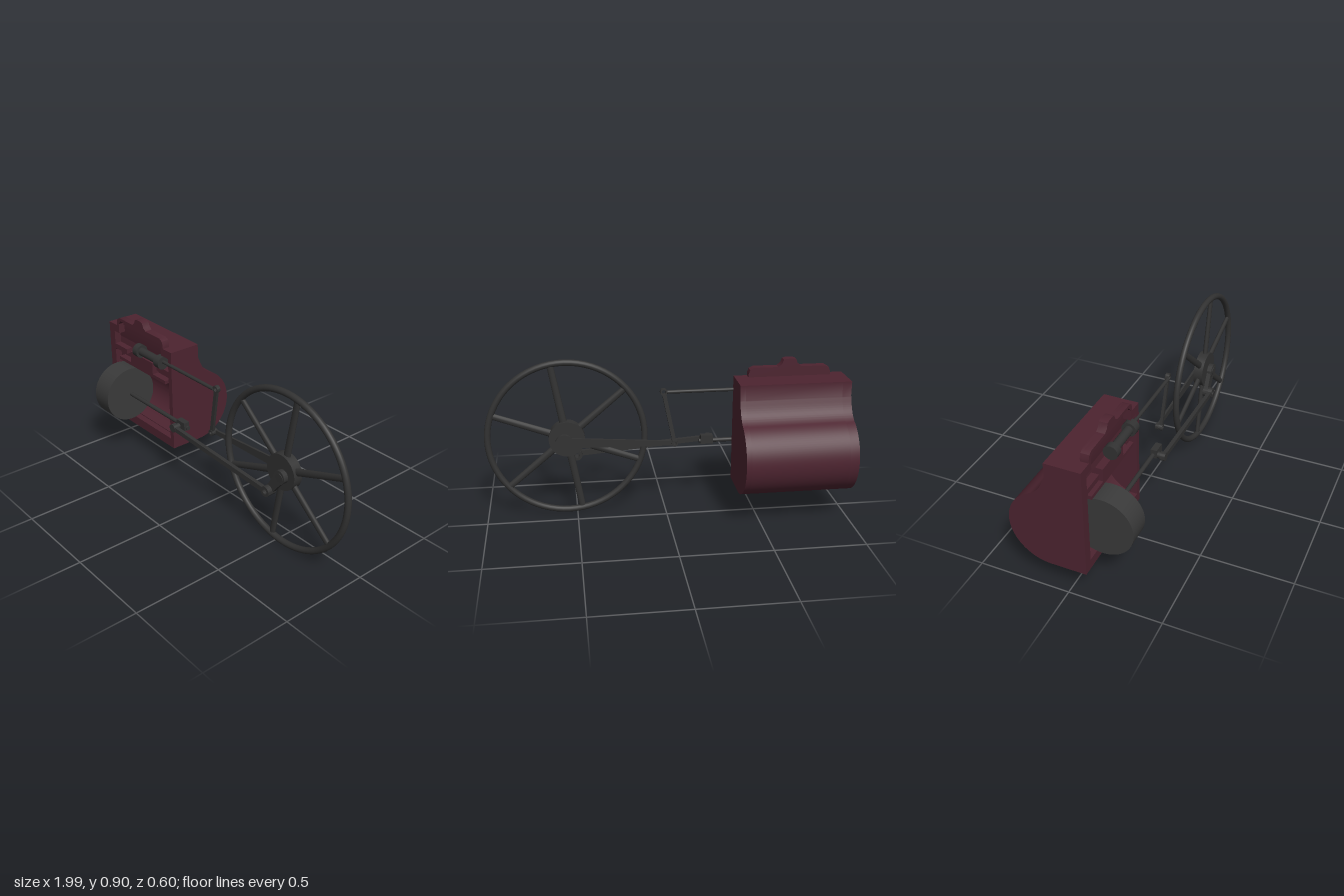
import * as THREE from 'three';
import { toCreasedNormals } from 'three/addons/utils/BufferGeometryUtils.js';

export function createModel() {
  const model = new THREE.Group();
  const maroon = new THREE.MeshStandardMaterial({ color: 0x4d2430 });
  maroon.name = 'maroon casting';
  const iron = new THREE.MeshStandardMaterial({ color: 0x323232 });
  iron.name = 'dark iron';
  const steel = new THREE.MeshStandardMaterial({ color: 0x3a3a3a });
  steel.name = 'piston steel';

  const add = (name, geo, mat, x = 0, y = 0, z = 0, parent = model) => {
    const mesh = new THREE.Mesh(geo, mat);
    mesh.name = name;
    mesh.position.set(x, y, z);
    parent.add(mesh);
    return mesh;
  };
  const outline = (pts) => new THREE.Shape(pts.map(([x, y]) => new THREE.Vector2(x, y)));
  const extrude = (shape, depth) => toCreasedNormals(
    new THREE.ExtrudeGeometry(shape, { depth, bevelEnabled: false, curveSegments: 24 }), 0.6);
  // cylinder lying along x, from x0 to x1
  const rodX = (name, x0, x1, y, z, r, mat = iron, sides = 24) =>
    add(name, new THREE.CylinderGeometry(r, r, x1 - x0, sides).rotateZ(Math.PI / 2), mat, (x0 + x1) / 2, y, z);
  // cylinder lying along z, from z0 to z1
  const discZ = (name, x, y, z0, z1, r, sides = 32) =>
    add(name, new THREE.CylinderGeometry(r, r, z1 - z0, sides).rotateX(Math.PI / 2), iron, x, y, (z0 + z1) / 2);

  // Cylinder block: side profile swept along x (shape x is -z)
  const FRONT = 0.105, SEAT = 0.065;
  const blockProfile = (front, hollow) => {
    const s = new THREE.Shape();
    s.moveTo(-front, 0.165);
    s.lineTo(0.085, 0.165);
    s.absarc(0.085, 0.38, 0.215, -Math.PI / 2, 1.17, false);
    s.bezierCurveTo(0.115, 0.61, 0.105, 0.65, 0.085, 0.70);
    s.lineTo(0.085, 0.777);
    s.lineTo(-front, 0.777);
    if (hollow) {
      // valve chamber and bore, both open to the front
      for (const [cy, r] of [[0.69, 0.041], [0.39, 0.17]]) {
        const a = Math.acos(Math.min(1, (FRONT - front) / r));
        s.lineTo(-front, cy + r * Math.sin(a));
        s.absarc(-FRONT, cy, r, a, -a, true);
      }
    }
    s.closePath();
    return s;
  };
  const sweep = (name, x0, x1, front, hollow) =>
    add(name, extrude(blockProfile(front, hollow), x1 - x0).rotateY(Math.PI / 2), maroon, x0);
  sweep('blockEndLeft', -0.415, -0.385, SEAT, false);
  sweep('blockEndRight', -1, -0.95, SEAT, false);
  sweep('blockBody', -0.95, -0.415, SEAT, true);

  // Sectioned front face with bore, steam passages and chest cut out
  const arch = [[-0.46, 0.777], [-0.46, 0.795], [-0.468, 0.818], [-0.49, 0.83], [-0.625, 0.83],
    [-0.645, 0.845], [-0.655, 0.87], [-0.67, 0.875], [-0.71, 0.875], [-0.725, 0.87], [-0.735, 0.845],
    [-0.755, 0.83], [-0.89, 0.83], [-0.912, 0.818], [-0.92, 0.795], [-0.92, 0.777]];
  const face = outline([[-1, 0.165], [-0.385, 0.165], [-0.385, 0.777], ...arch, [-1, 0.777]]);
  face.holes.push(outline([[-0.95, 0.22], [-0.415, 0.22], [-0.415, 0.61], [-0.425, 0.62], [-0.53, 0.62],
    [-0.53, 0.65], [-0.415, 0.65], [-0.415, 0.731], [-0.48, 0.731], [-0.48, 0.79], [-0.5, 0.812],
    [-0.88, 0.812], [-0.9, 0.79], [-0.9, 0.731], [-0.95, 0.731], [-0.95, 0.65], [-0.83, 0.65],
    [-0.83, 0.62], [-0.94, 0.62], [-0.95, 0.61]]));
  add('sectionFace', extrude(face, FRONT - SEAT), maroon, 0, 0, SEAT);
  add('steamChestBack', extrude(outline(arch), 0.012), maroon, 0, 0, SEAT - 0.005);
  add('portBridge', extrude(outline([[-0.91, 0.56], [-0.45, 0.56], [-0.45, 0.58], [-0.57, 0.58], [-0.57, 0.65],
    [-0.79, 0.65], [-0.79, 0.58], [-0.91, 0.58]]), FRONT - SEAT), maroon, 0, 0, SEAT);

  // Piston, piston rod and crosshead
  rodX('piston', -0.89, -0.76, 0.39, 0.14, 0.165, steel, 48);
  rodX('pistonRod', -0.78, -0.2, 0.39, 0.135, 0.012);
  add('crosshead', new THREE.BoxGeometry(0.07, 0.05, 0.035), iron, -0.245, 0.398, 0.14);
  discZ('crossheadPin', -0.262, 0.388, 0.13, 0.2, 0.018, 20);

  // Spool valve and its rod
  rodX('valveSpool', -0.69, -0.48, 0.69, 0.105, 0.024);
  rodX('valveLandRight', -0.71, -0.67, 0.69, 0.105, 0.039);
  rodX('valveLandLeft', -0.505, -0.46, 0.69, 0.105, 0.039);
  rodX('valveRod', -0.46, -0.012, 0.698, 0.105, 0.01);

  // Flat tapered link with an eye at each end: [eye radius, hole radius]
  const link = (name, from, to, halfA, halfB, eyeA, eyeB, thick) => {
    const a = new THREE.Vector3(...from), dir = new THREE.Vector3(...to).sub(a);
    const length = dir.length(), g = new THREE.Group();
    g.name = name;
    g.position.copy(a);
    g.quaternion.setFromUnitVectors(new THREE.Vector3(1, 0, 0), dir.normalize());
    const x0 = Math.sqrt(eyeA[0] ** 2 - halfA ** 2) - 0.001, x1 = length - Math.sqrt(eyeB[0] ** 2 - halfB ** 2) + 0.001;
    add(name + 'Bar', extrude(outline([[x0, -halfA], [x1, -halfB], [x1, halfB], [x0, halfA]]), thick),
      iron, 0, 0, -thick / 2, g);
    for (const [x, [r, hole]] of [[0, eyeA], [length, eyeB]]) {
      const s = new THREE.Shape().absarc(x, 0, r, 0, Math.PI * 2);
      if (hole) s.holes.push(new THREE.Path().absarc(x, 0, hole, 0, Math.PI * 2, true));
      add(name + 'Eye', extrude(s, thick + 0.006), iron, 0, 0, -thick / 2 - 0.003, g);
    }
    model.add(g);
  };
  link('connectingRod', [-0.262, 0.387, 0.189], [0.49, 0.335, 0.173], 0.013, 0.015, [0.024, 0], [0.029, 0.014], 0.022);
  link('valveLever', [0.005, 0.702, 0.098], [-0.053, 0.41, 0.085], 0.011, 0.011, [0.02, 0.012], [0.018, 0.009], 0.016);
  link('eccentricRod', [-0.053, 0.41, 0.066], [0.56, 0.44, 0.066], 0.013, 0.028, [0.018, 0.009], [0.048, 0], 0.012);

  // Crank web with boss and hollow crank pin
  link('crank', [0.563, 0.443, 0.145], [0.49, 0.335, 0.147], 0.03, 0.024, [0.038, 0], [0.029, 0.014], 0.024);
  discZ('crankBoss', 0.565, 0.443, 0.15, 0.163, 0.025);
  discZ('eccentric', 0.558, 0.44, 0.058, 0.085, 0.047);

  // Flywheel: rim, hub and six oval spokes
  const wheel = new THREE.Group();
  wheel.name = 'flywheel';
  wheel.position.set(0.544, 0.455, FRONT);
  model.add(wheel);
  add('rim', new THREE.TorusGeometry(0.432, 0.0175, 16, 72), iron, 0, 0, 0, wheel);
  add('hub', new THREE.CylinderGeometry(0.1, 0.1, 0.054, 40).rotateX(Math.PI / 2), iron, 0, 0, 0, wheel);
  for (let i = 0; i < 6; i++) {
    const spoke = new THREE.CylinderGeometry(0.018, 0.021, 0.34, 12).scale(1, 1, 0.65).translate(0, 0.255, 0);
    add('spoke', spoke, iron, 0, 0, 0, wheel).rotation.z = THREE.MathUtils.degToRad(-10 + i * 60);
  }
  return model;
}
